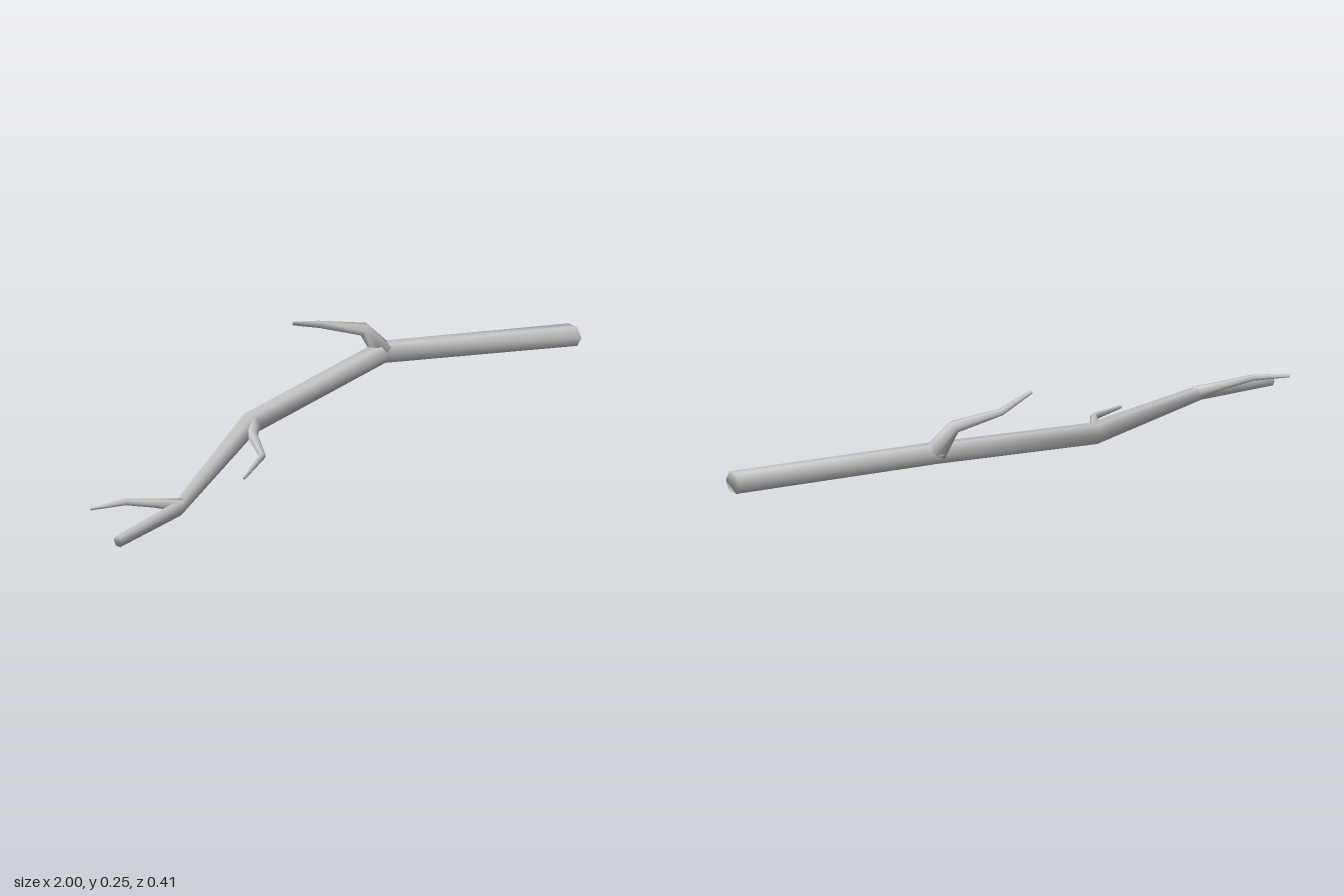
import * as THREE from 'three';

const UP = new THREE.Vector3(0, 1, 0);
const material = new THREE.MeshStandardMaterial({ color: 0xcccccc });

// Tapered, smooth-shaded limb through stations [x, y, z, radius].
// Joint rings lie on the bisecting plane; endAxis overrides the cut direction at both ends.
function limb(name, stations, sides, endAxis) {
  const pts = stations.map(([x, y, z]) => new THREE.Vector3(x, y, z));
  const last = pts.length - 1;
  const dirs = pts.slice(1).map((p, i) => p.clone().sub(pts[i]).normalize());
  const pos = [], index = [];

  pts.forEach((p, k) => {
    const t = dirs[Math.max(k - 1, 0)].clone().add(dirs[Math.min(k, last - 1)]).normalize();
    if (endAxis && (k === 0 || k === last)) t.copy(endAxis);
    const u = UP.clone().cross(t).normalize();
    const v = t.clone().cross(u);
    for (let i = 0; i < sides; i++) {
      const a = (i / sides) * Math.PI * 2;
      const q = p.clone()
        .addScaledVector(u, Math.cos(a) * stations[k][3])
        .addScaledVector(v, Math.sin(a) * stations[k][3]);
      pos.push(q.x, q.y, q.z);
    }
  });

  // Side walls
  for (let k = 0; k < last; k++) {
    for (let i = 0; i < sides; i++) {
      const j = (i + 1) % sides, a = k * sides, b = a + sides;
      index.push(a + i, a + j, b + j, a + i, b + j, b + i);
    }
  }
  // End caps
  for (let i = 1; i < sides - 1; i++) {
    const e = last * sides;
    index.push(0, i + 1, i, e, e + i, e + i + 1);
  }

  const geometry = new THREE.BufferGeometry();
  geometry.setAttribute('position', new THREE.Float32BufferAttribute(pos, 3));
  geometry.setIndex(index);
  geometry.computeVertexNormals();
  const mesh = new THREE.Mesh(geometry, material);
  mesh.name = name;
  return mesh;
}

export function createModel() {
  const group = new THREE.Group();
  group.name = 'branch';

  // Main crooked stem, thick end to thin end
  group.add(limb('mainStem', [
    [1, 0.032, 0.128, 0.036],
    [0.43, 0.088, -0.109, 0.034],
    [-0.16, 0.055, -0.087, 0.034],
    [-0.72, 0.043, 0.162, 0.022],
    [-1, 0.036, 0.186, 0.018],
  ], 6, new THREE.Vector3(-1, 0, 0)));

  // Side twigs with flared bases sunk into the stem
  group.add(limb('upperTwig', [
    [0.43, 0.09, -0.11, 0.036],
    [0.383, 0.168, -0.14, 0.021],
    [0.255, 0.207, -0.2, 0.011],
    [0.14, 0.25, -0.193, 0.006],
  ], 6));
  group.add(limb('middleTwig', [
    [-0.165, 0.055, -0.08, 0.034],
    [-0.21, 0.053, -0.025, 0.017],
    [-0.288, 0.05, 0.092, 0.011],
    [-0.43, 0.045, 0.155, 0.005],
  ], 6));
  group.add(limb('endTwig', [
    [-0.7, 0.045, 0.158, 0.022],
    [-0.77, 0.065, 0.122, 0.014],
    [-0.86, 0.086, 0.081, 0.01],
    [-0.965, 0.084, 0.04, 0.004],
  ], 6));

  return group;
}
